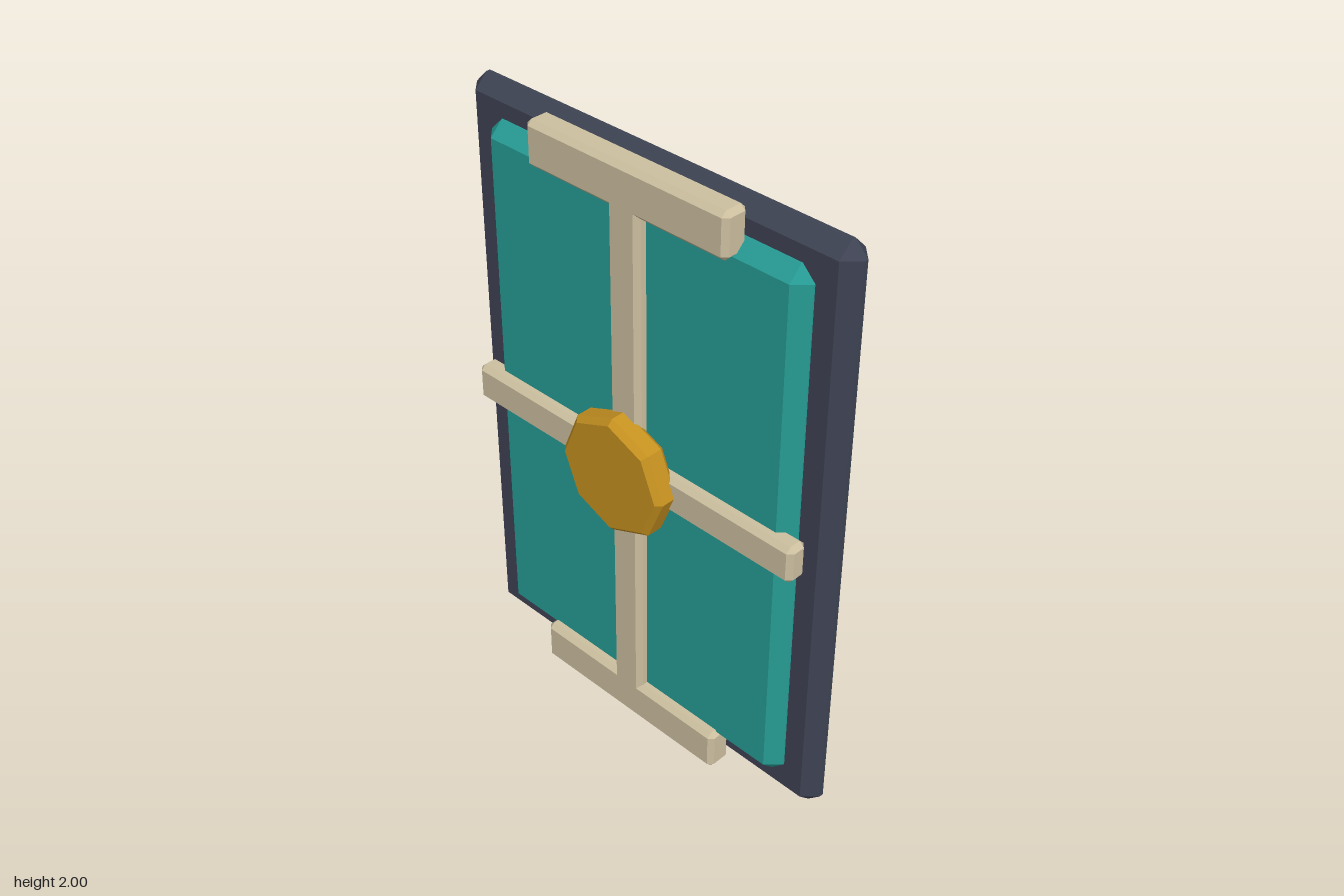
import * as THREE from 'three';
import { ConvexGeometry } from 'three/addons/geometries/ConvexGeometry.js';

const material = (name, color) => {
  const m = new THREE.MeshStandardMaterial({ color });
  m.name = name;
  return m;
};

// Box with every edge and corner cut at 45 degrees, given by its min and max corners
function chamferedBox(min, max, b) {
  const c = min.map((v, i) => (v + max[i]) / 2);
  const h = min.map((v, i) => (max[i] - v) / 2);
  const points = [];
  for (const sx of [-1, 1]) for (const sy of [-1, 1]) for (const sz of [-1, 1]) {
    const s = [sx, sy, sz];
    for (let axis = 0; axis < 3; axis++) {
      points.push(new THREE.Vector3(...s.map((k, i) => c[i] + k * (i === axis ? h[i] : h[i] - b))));
    }
  }
  return new ConvexGeometry(points);
}

export function createModel() {
  const slate = material('slate', 0x3e4353);
  const teal = material('teal', 0x269c94);
  const sand = material('sand', 0xcdc0a0);
  const gold = material('gold', 0xc69120);
  gold.flatShading = true;

  const model = new THREE.Group();
  model.name = 'shield';
  const add = (name, geometry, mat) => {
    const mesh = new THREE.Mesh(geometry, mat);
    mesh.name = name;
    model.add(mesh);
    return mesh;
  };

  // Backing slab and raised front panel
  add('backSlab', chamferedBox([-0.718, 0, -0.066], [0.718, 2, 0.036], 0.044), slate);
  add('frontPanel', chamferedBox([-0.605, 0.094, -0.02], [0.605, 1.906, 0.084], 0.044), teal);

  // Trim: end caps and crossing bars
  add('topCap', chamferedBox([-0.376, 1.855, 0.032], [0.376, 2, 0.119], 0.016), sand);
  add('bottomCap', chamferedBox([-0.376, 0, 0.032], [0.376, 0.145, 0.119], 0.016), sand);
  add('verticalBar', chamferedBox([-0.06, 0.05, 0.048], [0.06, 1.95, 0.119], 0.016), sand);
  add('horizontalBar', chamferedBox([-0.647, 0.937, 0.048], [0.647, 1.063, 0.119], 0.016), sand);

  // Eight-sided boss with chamfered rims
  const profile = [[0, 0.093], [0.187, 0.093], [0.205, 0.111], [0.205, 0.163], [0.187, 0.181], [0, 0.181]];
  const boss = add('boss', new THREE.LatheGeometry(profile.map(p => new THREE.Vector2(...p)), 8), gold);
  boss.rotation.x = Math.PI / 2;
  boss.position.y = 1;

  // Grip behind the slab
  add('grip', chamferedBox([-0.075, 0.625, -0.181], [0.075, 1.377, -0.092], 0.02), slate);
  return model;
}
